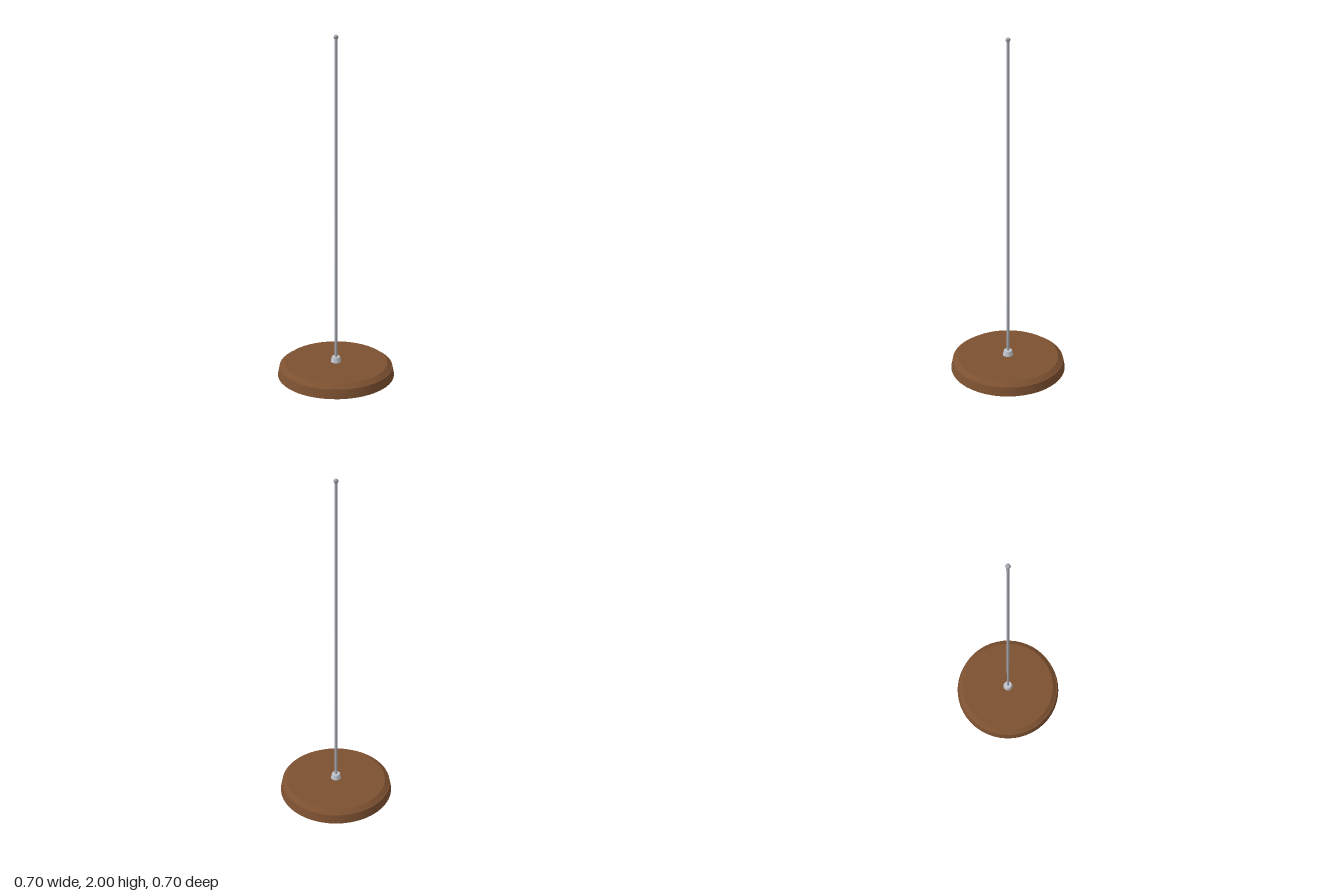
import * as THREE from 'three';

export function createModel() {
  const group = new THREE.Group();
  group.name = 'poleStand';

  const mat = (name, color) => {
    const m = new THREE.MeshStandardMaterial({ color });
    m.name = name;
    return m;
  };
  const wood = mat('brown wood', 0x7d5131);
  const steel = mat('pale steel', 0xc0c4cc);
  const rodSteel = mat('grey steel', 0xa4a9b1);

  const add = (name, geometry, material, y) => {
    const mesh = new THREE.Mesh(geometry, material);
    mesh.name = name;
    mesh.position.y = y;
    group.add(mesh);
  };
  // Tapered round part standing on height y0
  const taper = (name, rTop, rBottom, y0, y1, sides, material) =>
    add(name, new THREE.CylinderGeometry(rTop, rBottom, y1 - y0, sides), material, (y0 + y1) / 2);

  // Round wooden base with a bevelled upper step
  taper('base', 0.341, 0.352, 0, 0.053, 48, wood);
  taper('baseBevel', 0.31, 0.337, 0.053, 0.074, 48, wood);

  // Collar holding the rod
  taper('collar', 0.025, 0.032, 0.074, 0.105, 24, steel);

  // Tall thin rod with a ball tip
  taper('rod', 0.008, 0.008, 0.074, 1.987, 16, rodSteel);
  add('ballTip', new THREE.SphereGeometry(0.013, 20, 14), rodSteel, 1.987);

  return group;
}
